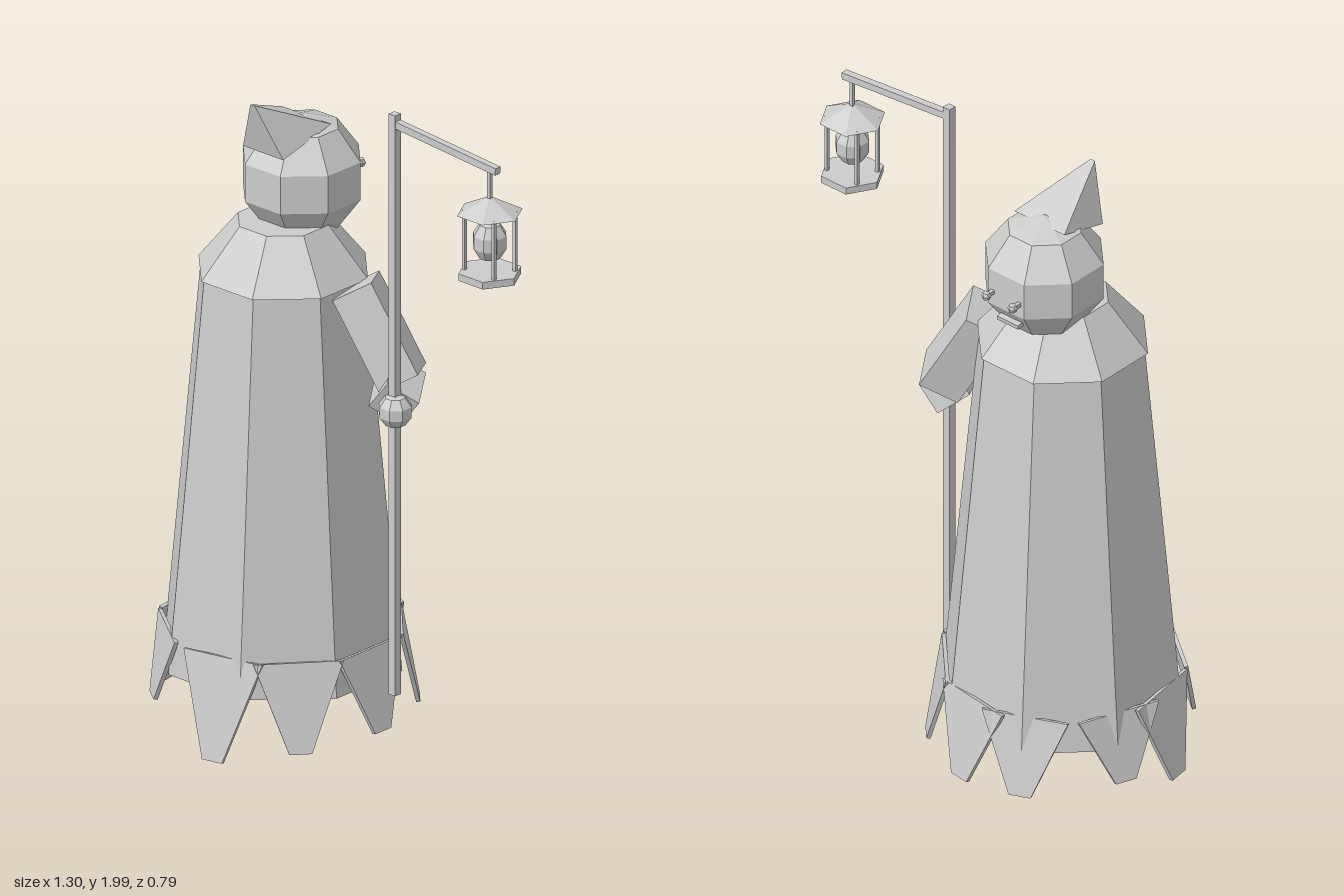
import * as THREE from 'three';
import { ConvexGeometry } from 'three/addons/geometries/ConvexGeometry.js';

export function createModel() {
  const grey = new THREE.MeshStandardMaterial({ color: 0xcccccc, flatShading: true });
  grey.name = 'plain grey';
  const root = new THREE.Group();
  const V = (x, y, z) => new THREE.Vector3(x, y, z);

  function add(parent, name, geometry, x = 0, y = 0, z = 0) {
    const flat = geometry.index ? geometry.toNonIndexed() : geometry;
    flat.computeVertexNormals();
    const mesh = new THREE.Mesh(flat, grey);
    mesh.name = name;
    mesh.position.set(x, y, z);
    parent.add(mesh);
    return mesh;
  }
  // Tapered prism with flat sides facing the axes
  function prism(top, bottom, height, sides) {
    return new THREE.CylinderGeometry(top, bottom, height, sides, 1).rotateY(Math.PI / sides);
  }
  function ball(radius, around, rows) {
    return new THREE.SphereGeometry(radius, around, rows).rotateY(Math.PI / around);
  }
  // Square bar running from a to b
  function bar(parent, name, a, b, w, d) {
    const mesh = add(parent, name, new THREE.BoxGeometry(w, a.distanceTo(b), d));
    mesh.position.copy(a).add(b).multiplyScalar(0.5);
    mesh.quaternion.setFromUnitVectors(V(0, 1, 0), b.clone().sub(a).normalize());
    return mesh;
  }

  // Robed figure
  const figure = new THREE.Group();
  figure.name = 'figure';
  figure.position.x = -0.255;
  root.add(figure);
  add(figure, 'robe', prism(0.25, 0.362, 1.2, 8), 0, 0.8, 0);
  add(figure, 'collar', prism(0.138, 0.258, 0.15, 8), 0, 1.475, 0);

  // Ragged hem: tapered strips leaning outward, [angle in degrees, tip height]
  const strips = [[12, 0.01], [50, 0.05], [90, 0.07], [134, 0.06], [172, 0.06],
    [203, 0.07], [250, 0.1], [279, 0.04], [323, 0.1]];
  for (const [angle, tip] of strips) {
    const topY = 0.312, inner = 0.328, lean = 0.2;
    const length = (topY - tip) / Math.cos(lean);
    const shape = new THREE.Shape([
      new THREE.Vector2(-0.13, 0), new THREE.Vector2(-0.033, -length),
      new THREE.Vector2(0.033, -length), new THREE.Vector2(0.13, 0)]);
    const g = new THREE.ExtrudeGeometry(shape, { depth: 0.012, bevelEnabled: false });
    g.rotateX(-lean).translate(0, topY, inner).rotateY(THREE.MathUtils.degToRad(angle));
    add(figure, 'hemStrip', g);
  }

  // Head, with the face toward -z
  add(figure, 'head', ball(0.188, 8, 5), 0, 1.668, -0.078);
  add(figure, 'hoodPeak', new ConvexGeometry([
    V(-0.008, 1.943, 0.13), V(0.008, 1.943, 0.13),
    V(-0.095, 1.84, -0.1), V(0.095, 1.84, -0.1),
    V(-0.078, 1.78, 0.085), V(0.078, 1.78, 0.085)]));
  for (const side of [-1, 1]) {
    bar(figure, 'eyeStalk', V(side * 0.05, 1.655, -0.22), V(side * 0.05, 1.655, -0.268), 0.012, 0.012);
    add(figure, 'eye', ball(0.015, 6, 4), side * 0.05, 1.655, -0.272);
  }
  const mouth = add(figure, 'mouth', new THREE.BoxGeometry(0.08, 0.014, 0.05), 0, 1.57, -0.212);
  mouth.rotation.x = -0.15;

  // Left arm reaching for the staff
  bar(root, 'upperSleeve', V(-0.01, 1.4, -0.04), V(0.13, 1.14, -0.085), 0.125, 0.15);
  bar(root, 'forearm', V(0.09, 1.13, -0.12), V(0.165, 1.09, -0.01), 0.11, 0.1);
  add(root, 'hand', ball(0.052, 8, 5), 0.18, 1.08, 0);

  // Staff with a sloping bracket
  add(root, 'staff', new THREE.BoxGeometry(0.025, 1.8, 0.025), 0.178, 1.1, 0);
  bar(root, 'bracket', V(0.18, 1.971, 0), V(0.578, 1.936, 0), 0.022, 0.022);

  // Hanging lantern
  const lantern = new THREE.Group();
  lantern.name = 'lantern';
  lantern.position.x = 0.547;
  root.add(lantern);
  const hex = (top, bottom, h) => new THREE.CylinderGeometry(top, bottom, h, 6).rotateY(Math.PI / 6);
  add(lantern, 'hanger', new THREE.BoxGeometry(0.011, 0.1, 0.011), 0, 1.885, 0);
  add(lantern, 'roof', hex(0.012, 0.098, 0.045), 0, 1.822, 0);
  add(lantern, 'base', hex(0.094, 0.094, 0.022), 0, 1.61, 0);
  for (const x of [-0.057, 0.057]) {
    for (const z of [-0.045, 0.045]) {
      add(lantern, 'post', new THREE.BoxGeometry(0.01, 0.19, 0.01), x, 1.71, z);
    }
  }
  add(lantern, 'lamp', ball(0.053, 8, 5).scale(1, 1.2, 1), 0, 1.712, 0);
  return root;
}
